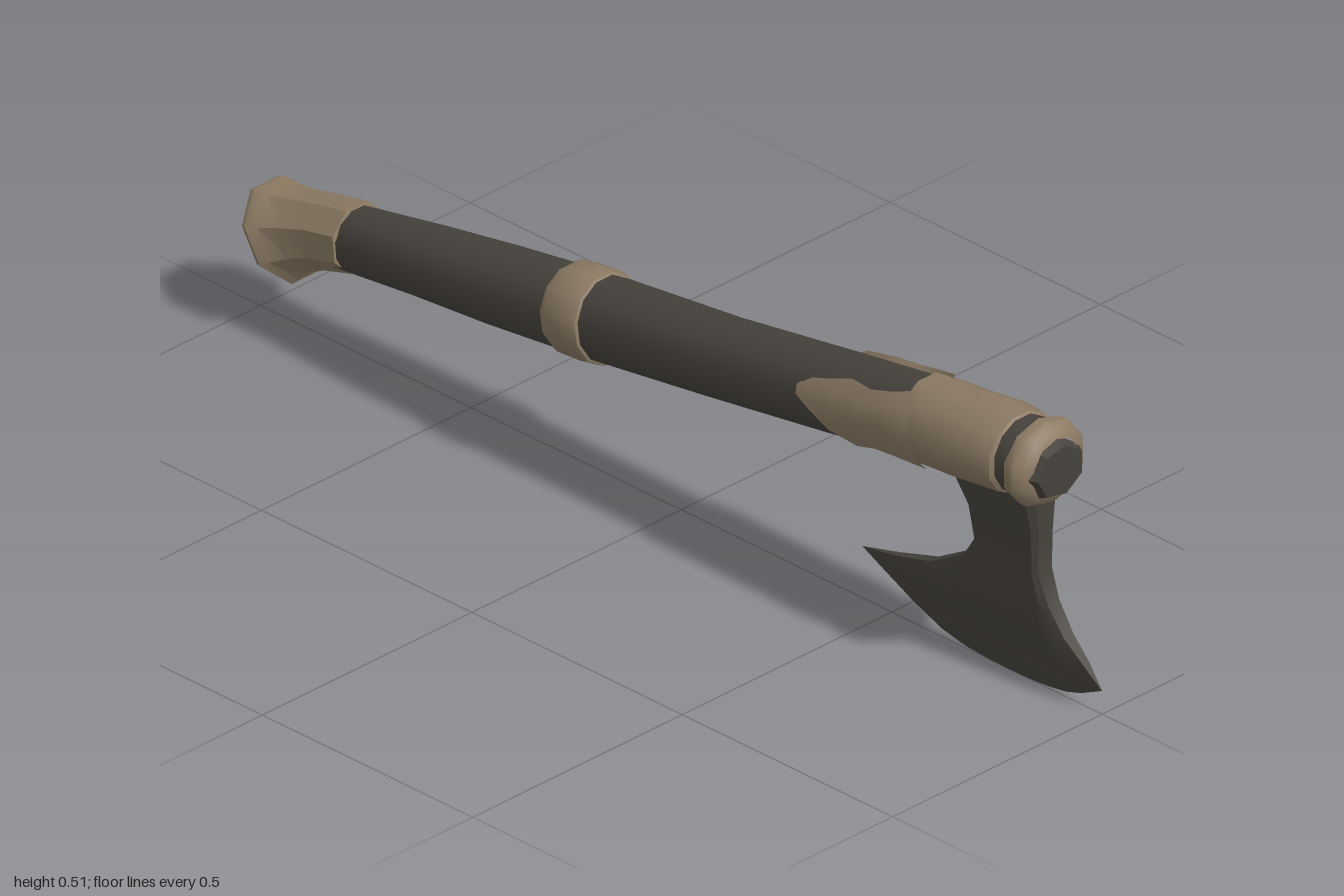
import * as THREE from 'three';
import { toCreasedNormals } from 'three/addons/utils/BufferGeometryUtils.js';

const wood = new THREE.MeshStandardMaterial({ color: 0x46423c });
wood.name = 'dark brown';
const brass = new THREE.MeshStandardMaterial({ color: 0x8c7b64 });
brass.name = 'tan';

// Skin a list of equally long point rows; closed joins the row ends
function skin(name, rows, material, closed = true, crease = 0.75) {
  const n = rows[0].length;
  const index = [];
  for (let i = 0; i < rows.length - 1; i++) {
    for (let j = 0; j < (closed ? n : n - 1); j++) {
      const k = (j + 1) % n;
      const a = i * n + j, b = i * n + k, c = a + n, d = b + n;
      index.push(a, c, b, b, c, d);
    }
  }
  const g = new THREE.BufferGeometry();
  g.setAttribute('position', new THREE.Float32BufferAttribute(rows.flat(2), 3));
  g.setIndex(index);
  const mesh = new THREE.Mesh(toCreasedNormals(g, crease), material);
  mesh.name = name;
  return mesh;
}

// Oval ring around the shaft: lean shifts z with height
function ring([z, y, rx, ry, lean = -0.16], sides) {
  return Array.from({ length: sides }, (_, j) => {
    const a = ((j + 0.5) / sides) * Math.PI * 2;
    const dy = Math.sin(a) * ry;
    return [Math.cos(a) * rx, y + dy, z + lean * dy];
  });
}

const loft = (name, sections, material, sides = 12) =>
  skin(name, sections.map((s) => ring(s, sides)), material);

// Shaft centre height at a given z
const axisY = (z) => (z > 0.6 ? 0.412 + (z - 0.6) * 0.075 : 0.32 + z * (z > 0 ? 0.153 : 0.125));

export function createModel() {
  const group = new THREE.Group();

  // Wooden shaft, slightly bellied and thinner to the rear
  group.add(loft('shaft', [
    [0.86, 0.433, 0.068, 0.068, 0],
    [0.80, 0.43, 0.072, 0.071, 0],
    [0.60, 0.412, 0.073, 0.073],
    [0.40, 0.381, 0.074, 0.074],
    [0.10, 0.335, 0.073, 0.073],
    [-0.20, 0.297, 0.076, 0.076],
    [-0.42, 0.268, 0.074, 0.071],
    [-0.60, 0.245, 0.067, 0.064],
    [-0.80, 0.215, 0.058, 0.058],
  ], wood));

  // Poll: tan rim with a dark striking face
  group.add(loft('pollRim', [
    [0.892, 0.433, 0.055, 0.055, 0],
    [0.885, 0.433, 0.074, 0.068, 0],
    [0.868, 0.433, 0.088, 0.079, 0],
    [0.848, 0.433, 0.085, 0.078, 0],
    [0.838, 0.433, 0.066, 0.064, 0],
  ], brass, 10));
  group.add(loft('pollFace', [
    [0.905, 0.43, 0, 0, 0],
    [0.903, 0.43, 0.055, 0.048, 0],
    [0.885, 0.43, 0.065, 0.056, 0],
  ], wood, 7));

  // Socket sleeve around the head
  group.add(loft('sleeve', [
    [0.815, 0.430, 0.066, 0.066, 0],
    [0.808, 0.430, 0.080, 0.075, 0],
    [0.76, 0.429, 0.087, 0.077, 0],
    [0.70, 0.421, 0.086, 0.076, -0.08],
    [0.64, 0.416, 0.082, 0.077, -0.12],
    [0.595, 0.411, 0.080, 0.078],
    [0.588, 0.410, 0.066, 0.066],
  ], brass));

  // Ragged side tongues running back from the sleeve: z, lower and upper angle
  const tongue = [
    [0.62, -55, 60], [0.56, -38, 48], [0.52, -34, 44], [0.47, -42, 50],
    [0.42, -22, 42], [0.385, 0, 38], [0.355, 14, 26],
  ].map(([z, lo, hi]) => {
    const point = (t, r) => {
      const a = THREE.MathUtils.degToRad(lo + (hi - lo) * t);
      return [Math.cos(a) * r, axisY(z) + Math.sin(a) * r, z - 0.16 * Math.sin(a) * r];
    };
    return [point(0, 0.064), ...[0, 0.25, 0.5, 0.75, 1].map((t) => point(t, 0.083)), point(1, 0.064)];
  });
  tongue.push(tongue.at(-1).map(([x, y, z]) => [x * 0.8, y, z]));
  const mirrored = tongue.map((row) => row.map(([x, y, z]) => [-x, y, z]).reverse());
  group.add(skin('leftTongue', tongue, brass, false));
  group.add(skin('rightTongue', mirrored, brass, false));

  // Middle grip band
  group.add(loft('gripBand', [
    [-0.168, 0.300, 0.070, 0.070],
    [-0.173, 0.300, 0.081, 0.080],
    [-0.19, 0.299, 0.085, 0.083],
    [-0.245, 0.294, 0.084, 0.082],
    [-0.257, 0.292, 0.079, 0.077],
    [-0.262, 0.291, 0.066, 0.066],
  ], brass));

  // Flared pommel with a slanted end
  group.add(loft('pommel', [
    [-0.762, 0.224, 0.052, 0.052, -0.1],
    [-0.765, 0.224, 0.067, 0.063, -0.1],
    [-0.835, 0.207, 0.064, 0.065, -0.2],
    [-0.88, 0.192, 0.069, 0.067, -0.36],
    [-0.918, 0.178, 0.082, 0.073, -0.52],
    [-0.935, 0.172, 0.092, 0.080, -0.6],
    [-0.947, 0.169, 0.086, 0.078, -0.6],
    [-0.955, 0.168, 0.06, 0.056, -0.6],
    [-0.957, 0.168, 0, 0, -0.6],
  ], brass, 8));

  // Bearded blade: half thickness, then z, y pairs from front to back
  const bladeRows = [
    [0.036, [0.865, 0.38], [0.82, 0.38], [0.77, 0.38], [0.72, 0.38], [0.67, 0.38]],
    [0.034, [0.866, 0.35], [0.82, 0.35], [0.77, 0.35], [0.72, 0.35], [0.675, 0.345]],
    [0.026, [0.866, 0.30], [0.83, 0.30], [0.78, 0.30], [0.73, 0.30], [0.702, 0.30]],
    [0.024, [0.865, 0.22], [0.83, 0.22], [0.79, 0.22], [0.745, 0.225], [0.714, 0.235]],
    [0.021, [0.885, 0.17], [0.84, 0.16], [0.79, 0.155], [0.73, 0.165], [0.685, 0.19]],
    [0.018, [0.92, 0.12], [0.86, 0.09], [0.78, 0.08], [0.68, 0.095], [0.60, 0.142]],
    [0.011, [0.965, 0.08], [0.89, 0.045], [0.78, 0.035], [0.63, 0.055], [0.51, 0.117]],
    [0, [1.0, 0.045], [0.915, 0.01], [0.78, 0], [0.62, 0.015], [0.43, 0.1]],
  ].map(([h, ...outline]) => {
    const curve = new THREE.SplineCurve(outline.map(([z, y]) => new THREE.Vector2(z, y)));
    const pts = curve.getPoints(12);
    const side = (s) => pts.map((p, i) => [s * h * (i === 0 || i === 12 ? 0.65 : 1), Math.max(p.y, 0), p.x]);
    return [...side(1), ...side(-1).reverse()];
  });
  group.add(skin('blade', bladeRows, wood));

  return group;
}
